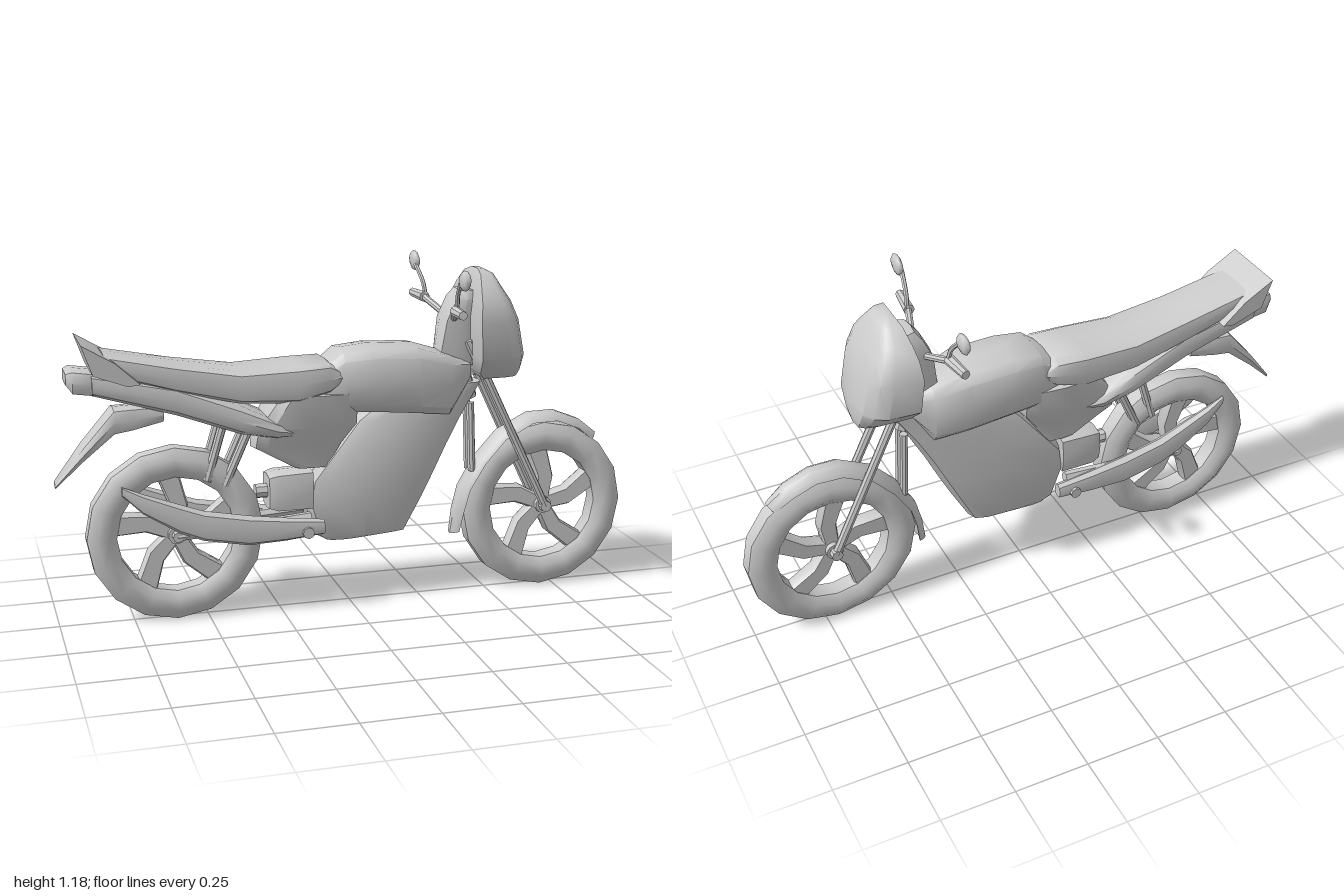
import * as THREE from 'three';
import { toCreasedNormals } from 'three/addons/utils/BufferGeometryUtils.js';

const grey = new THREE.MeshStandardMaterial({ color: 0xcccccc, side: THREE.DoubleSide });
const V = (x, y, z) => new THREE.Vector3(x, y, z);
const pow = (v, p) => Math.sign(v) * Math.abs(v) ** p;

function add(parent, name, geo, crease = 0.7) {
  const mesh = new THREE.Mesh(toCreasedNormals(geo, crease), grey);
  mesh.name = name;
  parent.add(mesh);
  return mesh;
}

// Closed skin over a row of equal-length rings, with fan caps at both ends
function loft(rings) {
  const n = rings[0].length, last = rings.length - 1, pos = [];
  const tri = (...pts) => pts.forEach(p => pos.push(p.x, p.y, p.z));
  const mid = r => r.reduce((a, p) => a.add(p), V(0, 0, 0)).divideScalar(n);
  const c0 = mid(rings[0]), c1 = mid(rings[last]);
  for (let j = 0; j < n; j++) {
    const k = (j + 1) % n;
    for (let i = 0; i < last; i++) {
      const a = rings[i], b = rings[i + 1];
      tri(a[j], b[j], b[k]);
      tri(a[j], b[k], a[k]);
    }
    tri(c0, rings[0][j], rings[0][k]);
    tri(c1, rings[last][k], rings[last][j]);
  }
  const geo = new THREE.BufferGeometry();
  geo.setAttribute('position', new THREE.Float32BufferAttribute(pos, 3));
  return geo;
}

const ring = (n, f) => Array.from({ length: n }, (_, j) => {
  const a = (j / n) * Math.PI * 2;
  return f(Math.cos(a), Math.sin(a));
});

// Stations [x, bottom, top, halfWidth, zCentre] from back to front
const hull = (stations, p = 0.65, n = 12) => loft(stations.map(([x, b, t, w, z = 0]) =>
  ring(n, (c, s) => V(x, (b + t) / 2 + (t - b) / 2 * pow(s, p), z + w * pow(c, p)))));

// Stations [y, backX, frontX, halfWidth] from bottom to top
const stack = (stations, p, n = 12) => loft(stations.map(([y, b, f, w]) =>
  ring(n, (c, s) => V((b + f) / 2 + (f - b) / 2 * pow(c, p), y, w * pow(s, p)))));

// Like stack, but with a flat back and a bowed front
const shield = (stations, p, n) => loft(stations.map(([y, b, f, w]) =>
  ring(n, (c, s) => V(b + (f - b) * pow(Math.max(c, 0), p), y, w * pow(s, p)))));

function rod(parent, name, a, b, r0, r1 = r0, sides = 8) {
  const d = b.clone().sub(a);
  const mesh = add(parent, name, new THREE.CylinderGeometry(r1, r0, d.length(), sides));
  mesh.position.copy(a).addScaledVector(d, 0.5);
  mesh.quaternion.setFromUnitVectors(V(0, 1, 0), d.normalize());
  return mesh;
}

function wheel(name, x) {
  const g = new THREE.Group();
  g.name = name;
  g.position.set(x, 0.3, 0);
  // Eight-cornered tyre section
  const section = [[.198, -.03], [.225, -.05], [.265, -.05], [.297, -.028], [.297, .028],
    [.265, .05], [.225, .05], [.198, .03], [.198, -.03]].map(p => new THREE.Vector2(...p));
  const tyre = add(g, 'tyre', new THREE.LatheGeometry(section, 16), 0.9);
  tyre.rotation.x = Math.PI / 2;
  rod(g, 'hub', V(0, 0, -.045), V(0, 0, .045), .03, .03, 10);
  // Bent spokes that widen to the rim
  const s = new THREE.Shape([[.01, -.02], [.1, -.03], [.205, .005], [.2, .07], [.1, .022], [.01, .02]]
    .map(p => new THREE.Vector2(...p)));
  const geo = new THREE.ExtrudeGeometry(s, { depth: .03, bevelEnabled: true, bevelSize: .006,
    bevelThickness: .012, bevelSegments: 1 }).translate(0, 0, -.015);
  for (let i = 0; i < 5; i++) {
    add(g, 'spoke', geo).rotation.z = 1.5 + i * Math.PI * 2 / 5;
  }
  return g;
}

export function createModel() {
  const bike = new THREE.Group();
  bike.name = 'motorcycle';
  bike.add(wheel('rearWheel', -.605), wheel('frontWheel', .705));

  // Bodywork
  add(bike, 'tank', hull([[-.13, .70, .83, .08], [-.04, .685, .90, .11], [.06, .68, .91, .12],
    [.22, .665, .905, .12], [.34, .65, .868, .09], [.42, .77, .835, .05]], 0.55));
  add(bike, 'seat', hull([[-.83, .86, .93, .095], [-.6, .79, .887, .10], [-.39, .74, .856, .112],
    [-.2, .73, .866, .12], [-.09, .76, .868, .117], [-.04, .80, .83, .10]], 0.5));
  add(bike, 'sideCover', stack([[.50, -.20, -.08, .05], [.58, -.345, -.03, .065],
    [.65, -.34, .02, .10], [.76, -.26, .02, .115]], 0.5));
  add(bike, 'tailCowl', hull([[-.87, .79, .87, .085], [-.6, .71, .82, .095], [-.39, .635, .74, .11],
    [-.27, .615, .68, .11], [-.21, .62, .65, .09]]));
  add(bike, 'engineFairing', stack([[.235, -.09, .03, .04], [.25, -.12, .20, .052],
    [.37, -.16, .265, .068], [.45, -.15, .305, .072], [.55, -.07, .352, .07],
    [.65, .01, .405, .065], [.70, .08, .435, .06], [.76, .30, .468, .05]], 0.6));

  // Tail
  const spoiler = new THREE.Shape([[-.905, .97], [-.87, .87], [-.76, .83], [-.72, .835], [-.80, .908]]
    .map(p => new THREE.Vector2(...p)));
  add(bike, 'tailSpoiler', new THREE.ExtrudeGeometry(spoiler, { depth: .24, bevelEnabled: false })
    .translate(0, 0, -.12));
  add(bike, 'tailLight', hull([[-.95, .83, .87, .06], [-.93, .80, .88, .075], [-.86, .79, .87, .075]], 0.4, 8));
  add(bike, 'rearFender', hull([[-.995, .485, .50, .03], [-.90, .575, .625, .055], [-.80, .655, .743, .06],
    [-.74, .665, .745, .06], [-.64, .69, .745, .06]], 0.5, 8));

  // Headlight cowl and instruments
  add(bike, 'headlightCowl', shield([[.775, .46, .595, .065], [.80, .435, .60, .10], [.86, .42, .60, .163],
    [.985, .41, .573, .176], [1.05, .417, .545, .157], [1.09, .425, .52, .125], [1.135, .437, .495, .08],
    [1.15, .445, .465, .03]], 0.55, 16));
  add(bike, 'instrumentPod', stack([[.82, .295, .44, .045], [.98, .32, .44, .065], [1.05, .355, .44, .065],
    [1.08, .38, .44, .05]], 0.5, 8));
  rod(bike, 'headstock', V(.43, .70, 0), V(.38, .88, 0), .03);

  // Front fender follows the wheel: [angle in degrees, radius, halfWidth]
  add(bike, 'frontFender', loft([[194, .357, .03], [180, .335, .045], [165, .325, .048], [144, .315, .05],
    [122, .325, .05], [100, .338, .05], [83, .338, .047], [66, .328, .045], [51, .318, .03]]
    .map(([deg, r, w]) => ring(10, (c, s) => {
      const q = r - .012 + .012 * s - .02 * c * c, t = deg * Math.PI / 180;
      return V(.71 + q * Math.cos(t), .3 + q * Math.sin(t), w * c);
    }))));

  // Engine and lower frame
  add(bike, 'engine', hull([[-.29, .36, .48, .055], [-.26, .35, .49, .065], [-.14, .35, .495, .065]], 0.4, 8));
  rod(bike, 'engineCap', V(-.33, .42, 0), V(-.28, .42, 0), .025);
  rod(bike, 'frontAxle', V(.705, .3, -.07), V(.705, .3, .07), .02);
  rod(bike, 'rearAxle', V(-.605, .3, -.07), V(-.605, .3, .07), .018);

  // Paired parts
  for (const s of [1, -1]) {
    const side = new THREE.Group();
    side.name = s > 0 ? 'leftSide' : 'rightSide';
    bike.add(side);
    rod(side, 'forkLeg', V(.705, .3, s * .056), V(.455, .82, s * .05), .015);
    rod(side, 'forkUpperTube', V(.475, .775, s * .05), V(.41, .91, s * .05), .018);
    rod(side, 'frameTube', V(.44, .44, s * .02), V(.43, .685, s * .02), .014);
    rod(side, 'swingarm', V(-.605, .3, s * .058), V(-.15, .33, s * .055), .015, .02, 6);
    rod(side, 'shockAbsorber', V(-.5, .48, s * .04), V(-.44, .68, s * .04), .015);
    rod(side, 'frameStrut', V(-.44, .46, s * .04), V(-.35, .66, s * .04), .015);
    add(side, 'exhaust', hull([[-.785, .455, .485, .008, s * .06], [-.72, .39, .458, .018, s * .064],
      [-.6, .315, .415, .024, s * .069], [-.52, .283, .387, .026, s * .073], [-.37, .256, .36, .026, s * .078],
      [-.24, .262, .342, .023, s * .08], [-.11, .275, .327, .02, s * .08]], 0.8, 8));
    rod(side, 'footPeg', V(-.17, .29, s * .06), V(-.17, .29, s * .11), .02);

    // Handlebar, grip and mirror
    rod(side, 'handlebar', V(.37, .97, 0), V(.32, 1.03, s * .17), .012);
    rod(side, 'grip', V(.32, 1.03, s * .16), V(.31, 1.032, s * .265), .019, .015);
    const stem = new THREE.CatmullRomCurve3([V(.325, 1.035, s * .165), V(.32, 1.08, s * .18),
      V(.31, 1.135, s * .235)]);
    add(side, 'mirrorStem', new THREE.TubeGeometry(stem, 6, .008, 6));
    const mirror = add(side, 'mirror', new THREE.SphereGeometry(1, 8, 6), 1);
    mirror.scale.set(.015, .034, .043);
    mirror.position.set(.315, 1.145, s * .262);
    mirror.rotation.x = s * -.25;
  }
  return bike;
}
